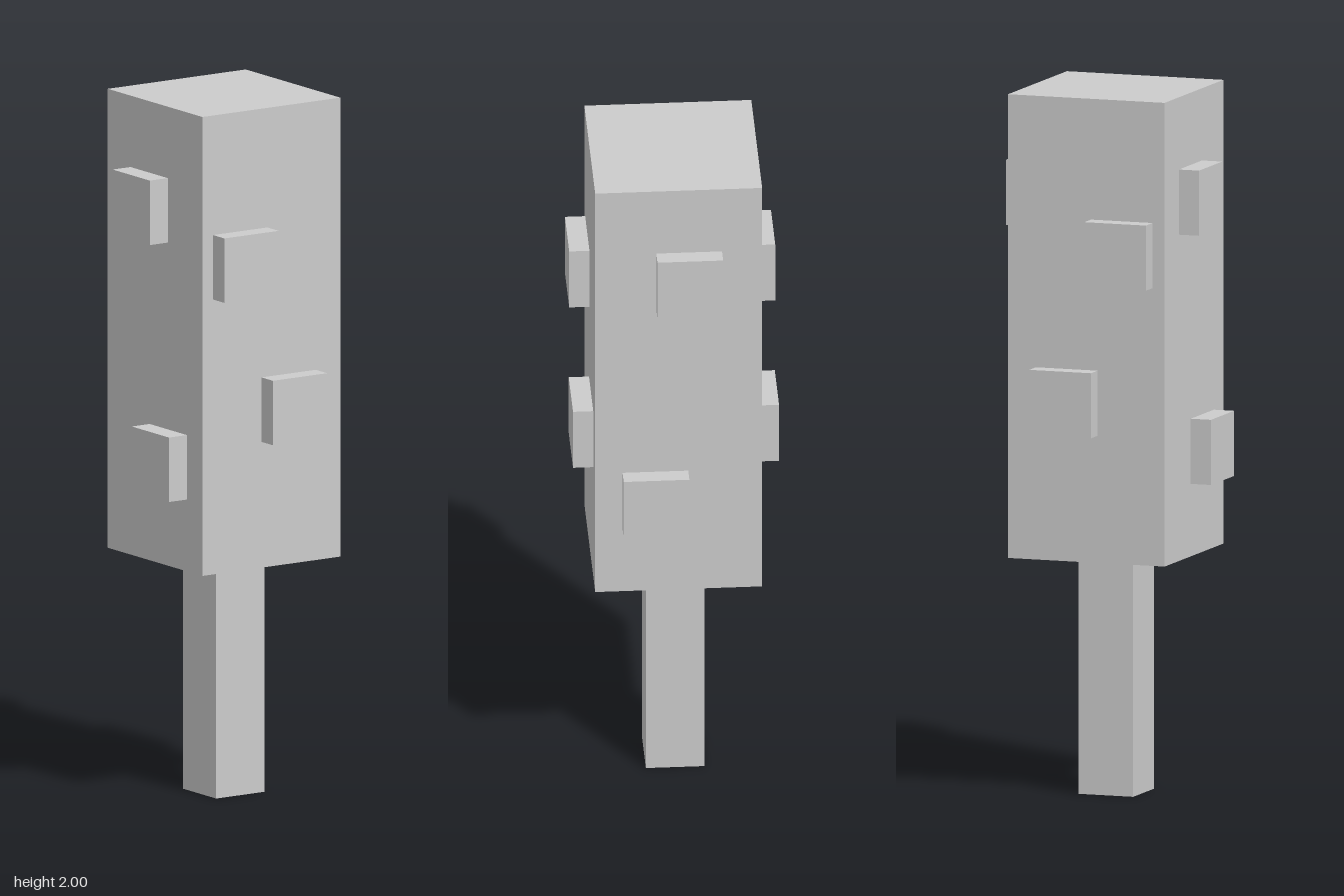
import * as THREE from 'three';

const grey = new THREE.MeshStandardMaterial({ color: 0xcccccc, flatShading: true });
const openGrey = new THREE.MeshStandardMaterial({ color: 0xcccccc, flatShading: true, side: THREE.DoubleSide });

// Box given by its lower and upper corners
function block(name, [x0, y0, z0], [x1, y1, z1]) {
  const mesh = new THREE.Mesh(new THREE.BoxGeometry(x1 - x0, y1 - y0, z1 - z0), grey);
  mesh.position.set((x0 + x1) / 2, (y0 + y1) / 2, (z0 + z1) / 2);
  mesh.name = name;
  return mesh;
}

export function createModel() {
  const model = new THREE.Group();
  model.name = 'studdedClub';

  // Handle: square tube, open at the bottom
  const width = 0.165, height = 0.683;
  const tube = new THREE.CylinderGeometry(width / Math.SQRT2, width / Math.SQRT2, height, 4, 1, true);
  tube.rotateY(Math.PI / 4);
  const handle = new THREE.Mesh(tube, openGrey);
  handle.position.set(0.005, height / 2, -0.002);
  handle.name = 'handle';
  model.add(handle);

  // Head
  const lo = [-0.229, 0.683, -0.237], hi = [0.241, 2, 0.233];
  model.add(block('head', lo, hi));

  // Studs: an upper and a lower one on each face, slightly sunk into the head
  const size = 0.185, reach = 0.29, sink = 0.02;
  const frontBack = [[-0.193, 1.472], [-0.028, 1.044]]; // x, y of lower corner
  const sides = [[-0.124, 1.61], [-0.029, 0.889]]; // z, y of lower corner
  for (const [x, y] of frontBack) {
    model.add(block('frontStud', [x, y, hi[2] - sink], [x + size, y + size, reach]));
    model.add(block('backStud', [x, y, -reach], [x + size, y + size, lo[2] + sink]));
  }
  for (const [z, y] of sides) {
    model.add(block('leftStud', [hi[0] - sink, y, z], [reach, y + size, z + size]));
    model.add(block('rightStud', [-reach, y, z], [lo[0] + sink, y + size, z + size]));
  }
  return model;
}
